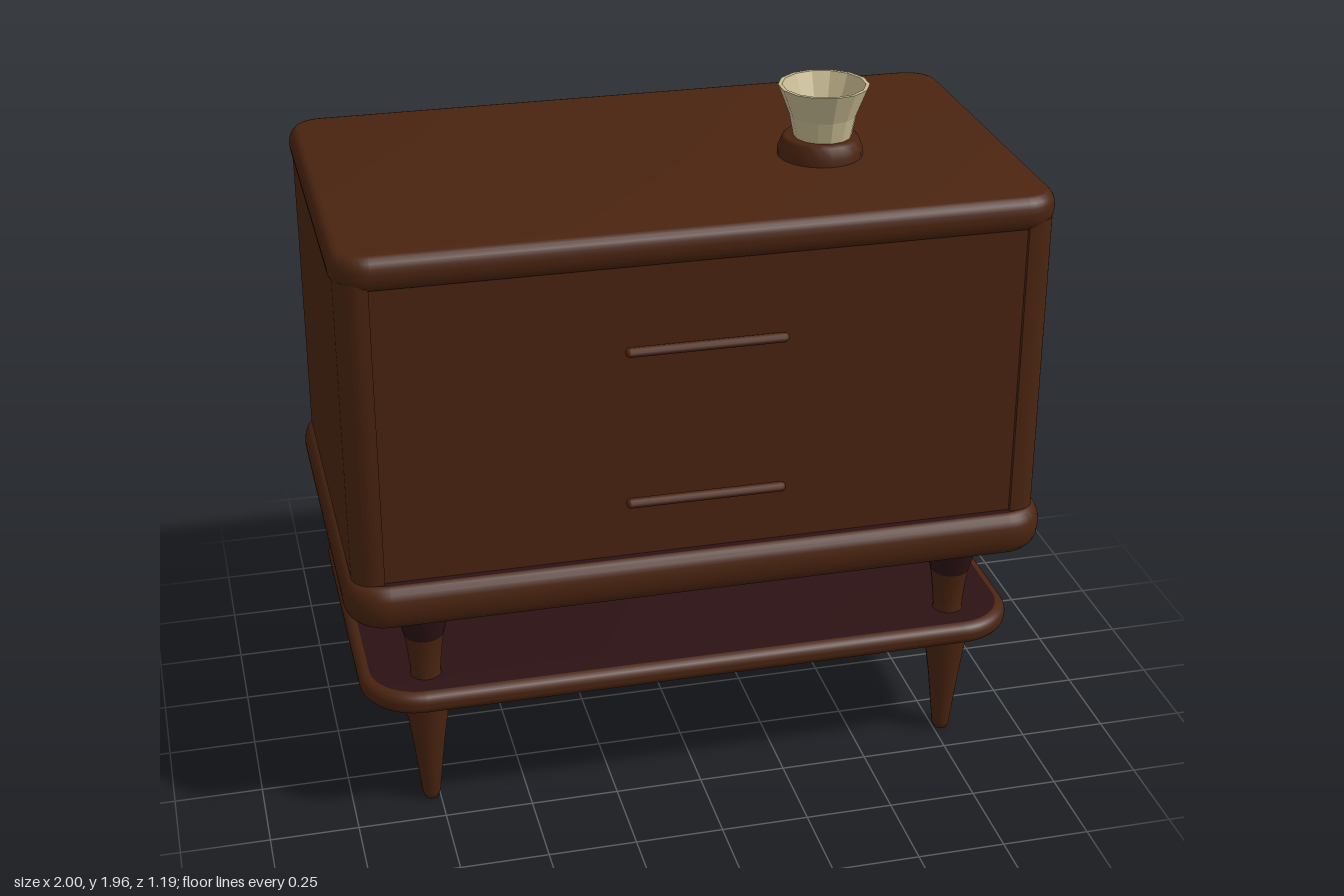
import * as THREE from 'three';
import { toCreasedNormals } from 'three/addons/utils/BufferGeometryUtils.js';

const brown = new THREE.MeshStandardMaterial({ color: 0x4a2410 });
brown.name = 'walnut';
const dark = new THREE.MeshStandardMaterial({ color: 0x2c1214 });
dark.name = 'dark underside';
const cream = new THREE.MeshStandardMaterial({ color: 0xc9bc92, side: THREE.DoubleSide, flatShading: true });
cream.name = 'cream';

// Rounded rectangle; "notch" sets the long sides back between the corner posts
function plan(w, d, r, notch = 0, post = 0.085) {
  const x = w / 2, y = d / 2, s = new THREE.Shape();
  const side = (k) => {
    if (!notch) return;
    const e = x - post;
    s.lineTo(-k * e, -k * y);
    s.lineTo(-k * e, -k * (y - notch));
    s.lineTo(k * e, -k * (y - notch));
    s.lineTo(k * e, -k * y);
  };
  s.moveTo(-x + r, -y);
  side(1);
  s.absarc(x - r, -y + r, r, -Math.PI / 2, 0);
  s.absarc(x - r, y - r, r, 0, Math.PI / 2);
  side(-1);
  s.absarc(-x + r, y - r, r, Math.PI / 2, Math.PI);
  s.absarc(-x + r, -y + r, r, Math.PI, Math.PI * 1.5);
  return s;
}

// Horizontal slab from y0 to y1 with a rounded rim
function slab(name, shape, y0, y1, z, bevel, inset, material) {
  const g = new THREE.ExtrudeGeometry(shape, {
    depth: y1 - y0 - 2 * bevel,
    bevelEnabled: bevel > 0,
    bevelThickness: bevel,
    bevelSize: inset,
    bevelOffset: -inset,
    bevelSegments: 4,
    curveSegments: 8,
  });
  g.rotateX(-Math.PI / 2);
  const m = new THREE.Mesh(toCreasedNormals(g, 0.6), material);
  m.name = name;
  m.position.set(0, y0 + bevel, z);
  return m;
}

function lathe(name, profile, sides, material) {
  const pts = profile.map(([r, y]) => new THREE.Vector2(r, y));
  const m = new THREE.Mesh(new THREE.LatheGeometry(pts, sides), material);
  m.name = name;
  return m;
}

function leg(x, z) {
  const g = new THREE.Group();
  g.name = 'leg';
  g.add(
    lathe('legFoot', [[0, 0.01], [0.02, 0.01], [0.026, 0.03], [0.045, 0.2], [0.063, 0.33], [0.066, 0.39]], 20, brown),
    lathe('legNeck', [[0.05, 0.4], [0.042, 0.44], [0.05, 0.52], [0.056, 0.56]], 20, brown),
    lathe('legTop', [[0.056, 0.56], [0.072, 0.62], [0.086, 0.7]], 20, dark),
  );
  g.position.set(x, 0, z);
  return g;
}

export function createModel() {
  const model = new THREE.Group();
  model.name = 'nightstand';

  // Cabinet: body with set-back front and back panels, top and base
  model.add(
    slab('cabinetBody', plan(1.95, 1.11, 0.07, 0.012), 0.78, 1.69, -0.018, 0, 0, brown),
    slab('cabinetTop', plan(1.97, 1.12, 0.1), 1.665, 1.76, -0.012, 0.045, 0.03, brown),
    slab('cabinetBase', plan(2, 1.175, 0.12), 0.685, 0.81, -0.008, 0.055, 0.035, [dark, brown]),
  );

  // Lower shelf
  model.add(slab('shelf', plan(1.92, 1.08, 0.17), 0.365, 0.43, -0.02, 0.028, 0.03, [dark, brown]));

  // Legs
  for (const x of [-0.775, 0.775]) for (const z of [-0.39, 0.39]) model.add(leg(x, z));

  // Drawer handles
  for (const y of [1.0, 1.448]) {
    const bar = new THREE.CapsuleGeometry(0.013, 0.42, 4, 10);
    bar.rotateZ(Math.PI / 2);
    bar.scale(1, 1, 1.35);
    const handle = new THREE.Mesh(bar, brown);
    handle.name = 'drawerHandle';
    handle.position.set(-0.012, y, 0.58);
    model.add(handle);
  }

  // Small cup on a wooden foot
  const foot = lathe('cupFoot', [[0.12, 1.755], [0.12, 1.78], [0.108, 1.81], [0.1, 1.818], [0, 1.818]], 20, brown);
  foot.position.set(0.44, 0, 0.07);
  const cup = lathe('cup', [[0, 1.812], [0.08, 1.812], [0.094, 1.88], [0.127, 1.965],
    [0.116, 1.965], [0.084, 1.89], [0.06, 1.865], [0, 1.86]], 14, cream);
  cup.position.set(0.443, 0, 0.08);
  model.add(foot, cup);

  return model;
}
